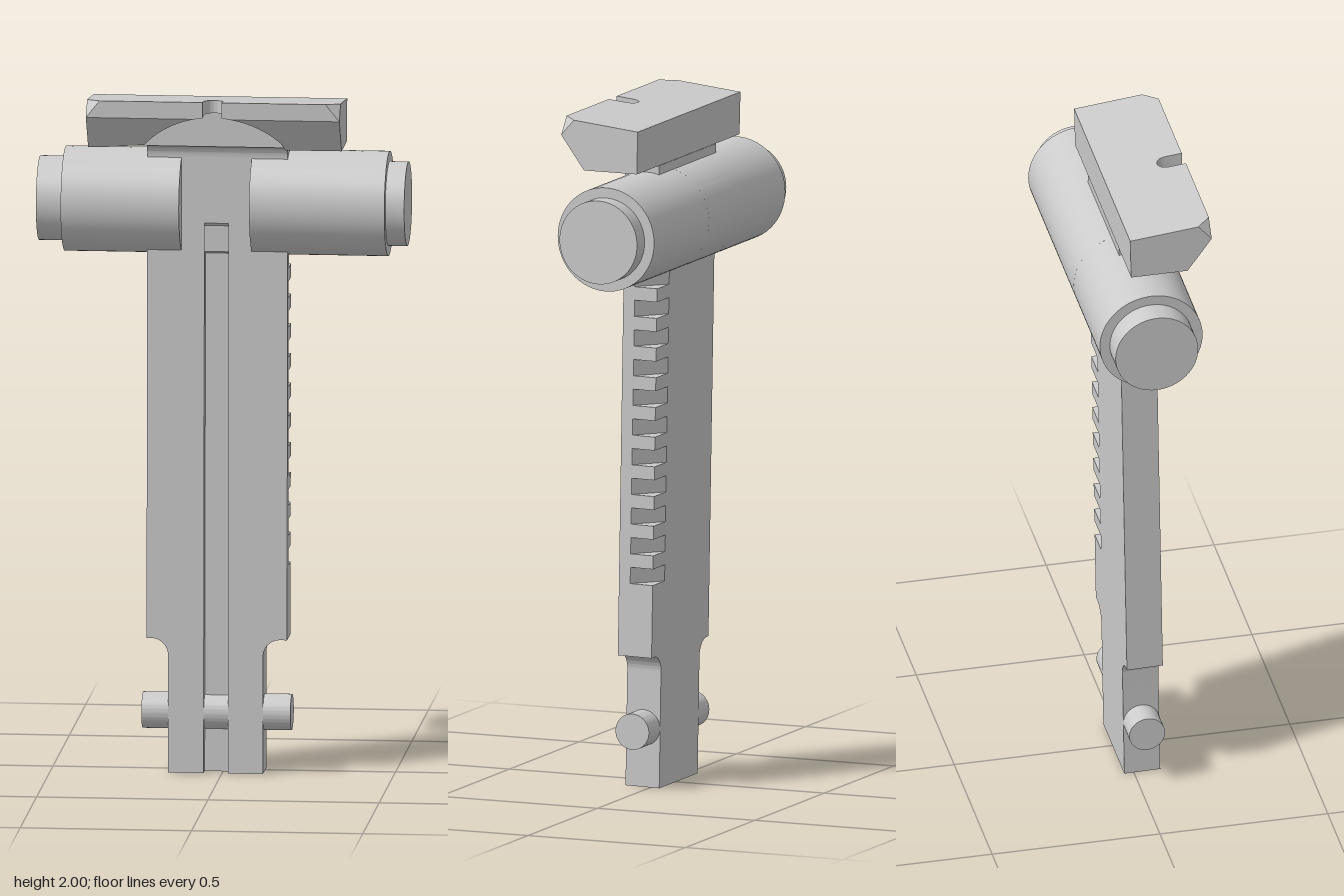
import * as THREE from 'three';
import { toCreasedNormals } from 'three/addons/utils/BufferGeometryUtils.js';

const material = new THREE.MeshStandardMaterial({ color: 0xcccccc });
const CX = -0.017; // centre line of blade and head

function part(parent, name, geometry) {
  const mesh = new THREE.Mesh(toCreasedNormals(geometry, 0.5), material);
  mesh.name = name;
  parent.add(mesh);
  return mesh;
}

const extrude = (shape, depth) =>
  new THREE.ExtrudeGeometry(shape, { depth, bevelEnabled: false, curveSegments: 32 });
const polygon = (pts) => new THREE.Shape(pts.map(([x, y]) => new THREE.Vector2(x, y)));
// Shape drawn in (-z, y), running from x0 to x1
const alongX = (shape, x0, x1) => extrude(shape, x1 - x0).rotateY(Math.PI / 2).translate(x0, 0, 0);
// Shape drawn in (x, -z), running from y0 to y1
const alongY = (shape, y0, y1) => extrude(shape, y1 - y0).rotateX(-Math.PI / 2).translate(0, y0, 0);

const rod = (r, x0, x1, y, z) =>
  new THREE.CylinderGeometry(r, r, x1 - x0, 64).rotateZ(Math.PI / 2).translate((x0 + x1) / 2, y, z);

// Blade outline with filleted shoulders; optional front groove and rack recess
function bladeOutline(groove, recess) {
  const s = new THREE.Shape();
  s.moveTo(-0.157, 0);
  if (groove) {
    s.lineTo(-0.053, 0);
    s.lineTo(-0.053, 1.62);
    s.lineTo(0.018, 1.62);
    s.lineTo(0.018, 0);
  }
  s.lineTo(0.12, 0);
  s.lineTo(0.12, 0.345);
  s.absarc(0.17, 0.345, 0.05, Math.PI, Math.PI / 2, true);
  s.lineTo(0.19, 0.395);
  if (recess) {
    s.lineTo(0.19, recess.y0);
    s.lineTo(recess.x, recess.y0);
    s.lineTo(recess.x, recess.y1);
    s.lineTo(0.19, recess.y1);
  }
  s.lineTo(0.19, 1.85);
  s.lineTo(-0.22, 1.85);
  s.lineTo(-0.22, 0.395);
  s.absarc(-0.207, 0.345, 0.05, Math.PI / 2, 0, true);
  s.closePath();
  return s;
}

function makeBlade() {
  const blade = new THREE.Group();
  blade.name = 'blade';
  const half = 0.0535, split = 0.018;
  const rack = { x: 0.104, y0: 0.61, y1: 1.535 };
  part(blade, 'bladeFront', extrude(bladeOutline(true), half - split).translate(0, 0, split));
  part(blade, 'bladeBack', extrude(bladeOutline(false, rack), half + split).translate(0, 0, -half));
  // Sloped end of the groove
  part(blade, 'grooveRamp', alongX(polygon([[-split, 1.578], [-split, 1.62], [-half, 1.62]]), -0.053, 0.018));
  // Rack: diagonal floor with teeth standing on it
  part(blade, 'rackFloor', alongY(polygon([[rack.x, -split], [0.19, -split], [rack.x, half]]), rack.y0, rack.y1));
  const pitch = 0.0877, gap = 0.048;
  for (let i = 0; i < 11; i++) {
    const y0 = rack.y0 + i * pitch + gap;
    const y1 = Math.min(y0 + pitch - gap, rack.y1);
    if (y1 - y0 < 0.001) continue;
    const tooth = new THREE.BoxGeometry(0.19 - rack.x, y1 - y0, half + split);
    part(blade, 'rackTooth', tooth.translate((0.19 + rack.x) / 2, (y0 + y1) / 2, (split - half) / 2));
  }
  blade.position.z = 0.025;
  blade.rotation.x = -0.0165; // slight lean to the back
  return blade;
}

// Head: cross-sections along x, with arched relief, U notch and cut front corners
function headGeometry() {
  const halfW = 0.37, archW = 0.205, archR = 0.269, notchX = CX - 0.002, notchR = 0.028;
  const top = (z) => 1.975 + (z + 0.063) * 0.103;
  const section = (x, inNotch) => {
    const d = Math.abs(x - CX);
    const h = d < archW ? 1.955 - archR + Math.sqrt(archR * archR - d * d) : 1.85;
    let zf = 0.18, zt = 0.18;
    if (inNotch) {
      const n = Math.min(notchR, Math.abs(x - notchX));
      zf = zt = 0.128 - Math.sqrt(notchR * notchR - n * n);
    }
    if (d > halfW - 0.001) zt = 0.14;
    const zs = Math.min(zf, 0.108 + (h - 1.85) * 0.72);
    return [[-0.063, 1.975], [zt, top(zt)], [zf, Math.max(1.95, h)], [zs, h],
      [0.07, h], [0.07, 1.85], [-0.06, 1.85]].map(([z, y]) => new THREE.Vector3(x, y, z));
  };
  const rings = [];
  const span = (x0, x1, n, inNotch) => {
    for (let i = 0; i <= n; i++) rings.push(section(x0 + (x1 - x0) * i / n, inNotch));
  };
  const n0 = notchX - notchR, n1 = notchX + notchR;
  rings.push(section(CX - halfW), section(CX - halfW + 0.04));
  span(CX - archW, n0, 16, false);
  span(n0, n1, 16, true);
  span(n1, CX + archW, 16, false);
  rings.push(section(CX + halfW - 0.04), section(CX + halfW));

  const pos = [];
  const tri = (a, b, c) => {
    if (new THREE.Triangle(a, b, c).getArea() > 1e-8) for (const v of [a, b, c]) pos.push(v.x, v.y, v.z);
  };
  for (let i = 0; i < rings.length - 1; i++) {
    for (let j = 0; j < 7; j++) {
      const k = (j + 1) % 7;
      const a = rings[i][j], b = rings[i][k], c = rings[i + 1][k], d = rings[i + 1][j];
      if (a.x < CX) { tri(a, b, d); tri(b, c, d); } else { tri(a, b, c); tri(a, c, d); }
    }
  }
  const first = rings[0], last = rings[rings.length - 1];
  for (let j = 1; j < 6; j++) {
    tri(last[0], last[j], last[j + 1]);
    tri(first[0], first[j + 1], first[j]);
  }
  const g = new THREE.BufferGeometry();
  g.setAttribute('position', new THREE.Float32BufferAttribute(pos, 3));
  g.computeVertexNormals();
  return g;
}

export function createModel() {
  const model = new THREE.Group();
  model.name = 'slidingLeaf';
  model.add(makeBlade());

  // Cross pins at the foot
  part(model, 'footPin', rod(0.053, -0.235, 0.2, 0.175, 0.022));

  // Slide barrel, open at the front over the blade
  const y = 1.675, z = -0.018, r = 0.153;
  part(model, 'barrelRight', rod(r, -0.465, -0.12, y, z));
  part(model, 'barrelLeft', rod(r, 0.085, 0.48, y, z));
  const cut = Math.PI - Math.acos(0.063 / r);
  const middle = new THREE.Shape();
  middle.absarc(-z, y, r, -cut, cut, false);
  middle.closePath();
  part(model, 'barrelMiddle', alongX(middle, -0.12, 0.085));
  part(model, 'endKnobRight', rod(0.123, -0.54, -0.465, y, z));
  part(model, 'endKnobLeft', rod(0.123, 0.48, 0.535, y, z));

  // Head and the fillet that joins it to the blade
  part(model, 'head', headGeometry());
  const fillet = new THREE.Shape();
  fillet.moveTo(-0.03, 1.815);
  fillet.lineTo(-0.03, 1.851);
  fillet.lineTo(-0.07, 1.851);
  fillet.quadraticCurveTo(-0.049, 1.845, -0.049, 1.815);
  fillet.closePath();
  part(model, 'neckFillet', alongX(fillet, -0.22, 0.19));
  return model;
}
